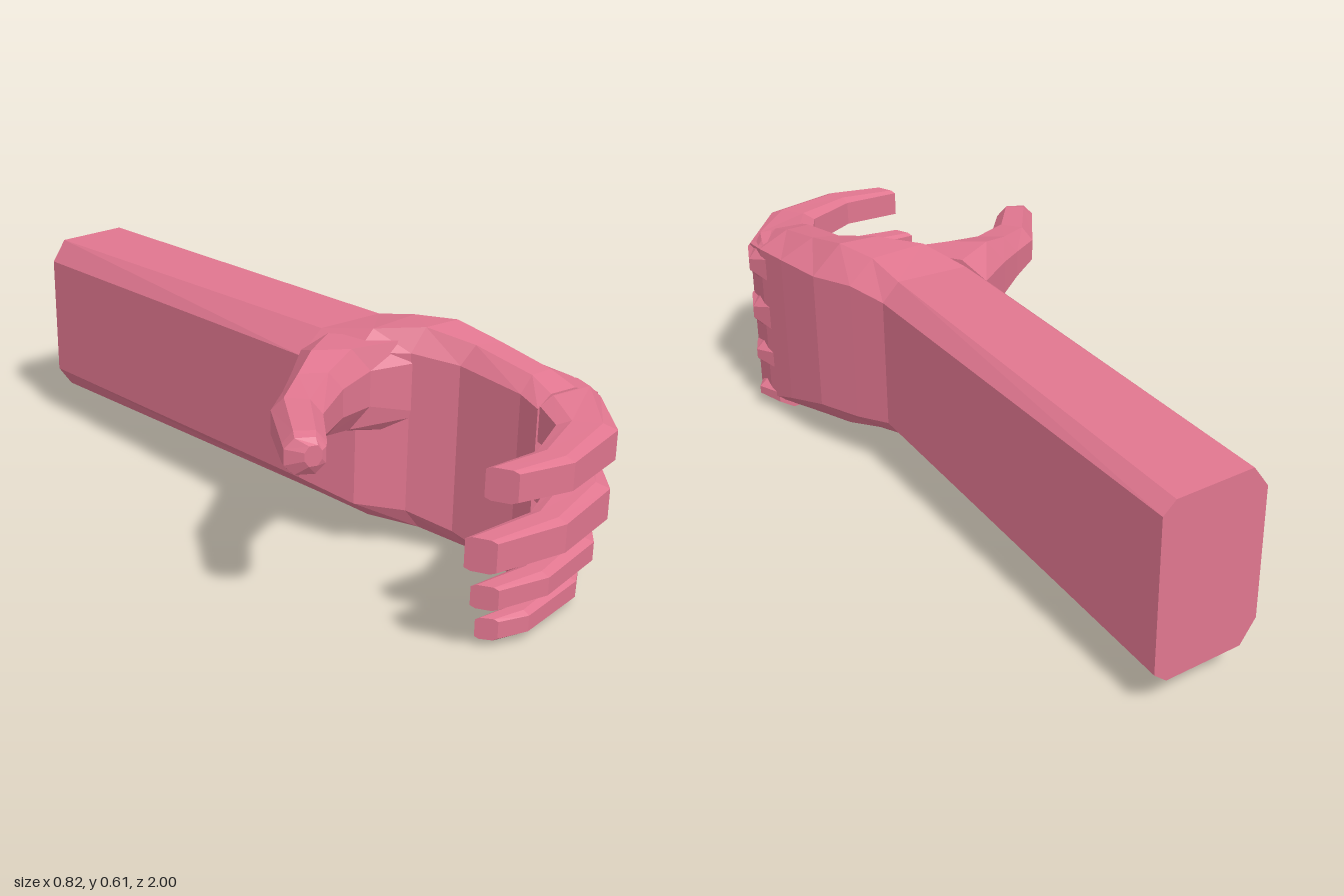
import * as THREE from 'three';

const skin = new THREE.MeshStandardMaterial({ color: 0xe0768f, flatShading: true });

// Chamfered rectangular ring. Section: outer x,z, inner x,z, bottom y, top y,
// chamfer across (fraction) and chamfer in height, for the outer then the inner side.
function ring([ox, oz, ix, iz, y0, y1, co = 0.2, ho = 0.02, ci = co, hi = ho]) {
  const p = (t, y) => new THREE.Vector3(ox + (ix - ox) * t, y, oz + (iz - oz) * t);
  return [
    p(0, y0 + ho), p(0, y1 - ho), p(co, y1), p(1 - ci, y1),
    p(1, y1 - hi), p(1, y0 + hi), p(1 - ci, y0), p(co, y0),
  ];
}

// Skin a closed, capped solid over a row of sections.
function loft(name, sections) {
  const rings = sections.map(ring);
  const tris = [];
  for (let i = 0; i < rings.length - 1; i++) {
    const a = rings[i], b = rings[i + 1];
    for (let j = 0; j < 8; j++) {
      const k = (j + 1) % 8;
      tris.push([a[j], a[k], b[k]], [a[j], b[k], b[j]]);
    }
  }
  const first = rings[0], last = rings[rings.length - 1];
  for (let j = 1; j < 7; j++) {
    tris.push([first[0], first[j + 1], first[j]], [last[0], last[j], last[j + 1]]);
  }
  // Turn the faces outward whichever way the sections run
  const cross = new THREE.Vector3();
  let volume = 0;
  for (const [a, b, c] of tris) volume += a.dot(cross.crossVectors(b, c));
  const points = tris.flatMap(([a, b, c]) => (volume < 0 ? [a, c, b] : [a, b, c]));
  const geometry = new THREE.BufferGeometry().setFromPoints(points);
  geometry.computeVertexNormals();
  const mesh = new THREE.Mesh(geometry, skin);
  mesh.name = name;
  return mesh;
}

// Curled finger. reach scales how far it swings forward of the knuckles.
function finger(name, { y, h, tip, reach, base, drop = 0 }) {
  const z = (v) => 0.73 + (v - 0.73) * reach;
  const b = base / 2;
  return loft(name, [
    [0.385, 0.66, 0.21, 0.66, y - b, y + b, 0.25, 0.03],
    [0.41, 0.735, 0.2, 0.715, y - b, y + b, 0.2, b * 0.75, 0.2, 0.02],
    [0.385, z(0.79), 0.19, z(0.76), y - b, y + b, 0.2, 0.035, 0.2, 0.02],
    [0.225, z(0.955), 0.145, z(0.84), y - h * 0.64 - drop / 2, y + h * 0.64 - drop / 2, 0.25, 0.014],
    [0.01, z(0.997), 0.0, z(0.9), y - h * 0.55 - drop, y + h * 0.55 - drop, 0.25, 0.01],
    [tip + 0.03, z(0.955), tip, z(0.885), y - h / 2 - drop, y + h / 2 - drop, 0.2, 0.006],
  ]);
}

export function createModel() {
  const arm = new THREE.Group();
  arm.name = 'arm';

  arm.add(loft('forearm', [
    [0.33, -1, 0.04, -1, 0.09, 0.56, 0.12, 0.03, 0.15, 0.06],
    [0.295, 0.18, -0.012, 0.15, 0.115, 0.575, 0.15, 0.05, 0.22, 0.06],
  ]));

  // Palm with the back of the hand toward +x
  arm.add(loft('palm', [
    [0.295, 0.18, -0.012, 0.15, 0.115, 0.575, 0.15, 0.05, 0.22, 0.06],
    [0.33, 0.29, 0.04, 0.3, 0.085, 0.6, 0.25, 0.06, 0.2, 0.05],
    [0.37, 0.42, 0.14, 0.39, 0.055, 0.608, 0.35, 0.08, 0.2, 0.06],
    [0.385, 0.58, 0.2, 0.5, 0.025, 0.58, 0.45, 0.06, 0.2, 0.05],
    [0.39, 0.7, 0.2, 0.69, 0, 0.55, 0.45, 0.04, 0.2, 0.04],
    [0.38, 0.785, 0.185, 0.755, 0.004, 0.525, 0.4, 0.03, 0.2, 0.03],
  ]));

  // Thumb rising out of the wrist side of the palm
  arm.add(loft('thumb', [
    [0.0, 0.14, 0.2, 0.42, 0.33, 0.575, 0.2, 0.05],
    [-0.12, 0.23, 0.04, 0.348, 0.36, 0.575, 0.25, 0.06],
    [-0.2, 0.285, -0.08, 0.372, 0.385, 0.55, 0.25, 0.045],
    [-0.29, 0.34, -0.215, 0.44, 0.403, 0.533, 0.25, 0.035],
    [-0.395, 0.49, -0.315, 0.555, 0.415, 0.522, 0.25, 0.03],
    [-0.412, 0.515, -0.33, 0.567, 0.425, 0.515, 0.25, 0.025],
    [-0.385, 0.555, -0.345, 0.57, 0.45, 0.5, 0.25, 0.015],
  ]));

  const fingers = {
    indexFinger: { y: 0.455, h: 0.08, tip: -0.158, reach: 1, base: 0.13 },
    middleFinger: { y: 0.305, h: 0.083, tip: -0.21, reach: 0.97, base: 0.135, drop: 0.004 },
    ringFinger: { y: 0.17, h: 0.06, tip: -0.155, reach: 0.83, base: 0.11, drop: 0.005 },
    littleFinger: { y: 0.05, h: 0.056, tip: -0.098, reach: 0.65, base: 0.09, drop: 0.002 },
  };
  for (const [name, spec] of Object.entries(fingers)) arm.add(finger(name, spec));

  return arm;
}
